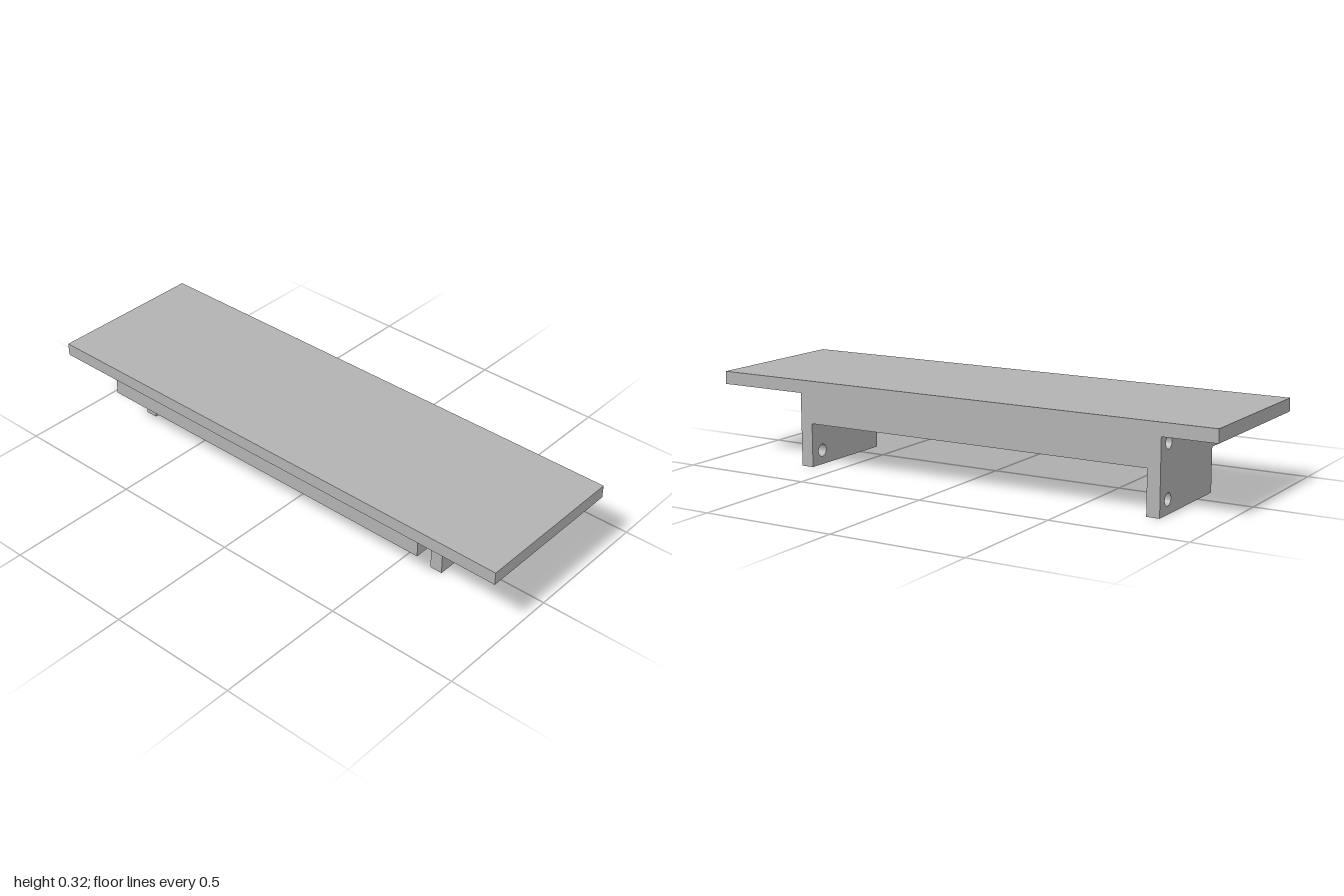
import * as THREE from 'three';

export function createModel() {
  const group = new THREE.Group();
  const grey = new THREE.MeshStandardMaterial({ color: 0xb2b2b2 });
  grey.name = 'plain grey';

  // Box given by its min and max corners
  function box(name, [x0, y0, z0], [x1, y1, z1]) {
    const mesh = new THREE.Mesh(new THREE.BoxGeometry(x1 - x0, y1 - y0, z1 - z0), grey);
    mesh.position.set((x0 + x1) / 2, (y0 + y1) / 2, (z0 + z1) / 2);
    mesh.name = name;
    group.add(mesh);
  }

  const top = 0.32, under = 0.272, notchY = 0.162;
  const back = -0.298, front = 0.248, notchZ = 0.107;
  const thick = 0.048;
  const left = 0.65, right = -0.8;

  // Shelf board
  box('shelfBoard', [-1, under, -0.3], [1, top, 0.3]);

  // Rails between the two brackets
  box('frontRail', [right + thick, notchY, front - thick], [left - thick, under, front]);
  box('backRail', [right + thick, notchY, back], [left - thick, under, back + thick]);

  // Notched side brackets with two screw holes, drawn in (z, y)
  const profile = new THREE.Shape([
    [back, 0], [notchZ, 0], [notchZ, notchY], [front, notchY], [front, under], [back, under],
  ].map(([z, y]) => new THREE.Vector2(z, y)));
  for (const y of [0.052, 0.243]) {
    profile.holes.push(new THREE.Path().absarc(-0.239, y, 0.023, 0, Math.PI * 2, true));
  }
  const bracket = new THREE.ExtrudeGeometry(profile, { depth: thick, bevelEnabled: false, curveSegments: 32 });
  bracket.rotateY(-Math.PI / 2);
  for (const [name, x] of [['leftBracket', left], ['rightBracket', right + thick]]) {
    const mesh = new THREE.Mesh(bracket, grey);
    mesh.position.x = x;
    mesh.name = name;
    group.add(mesh);
  }
  return group;
}
